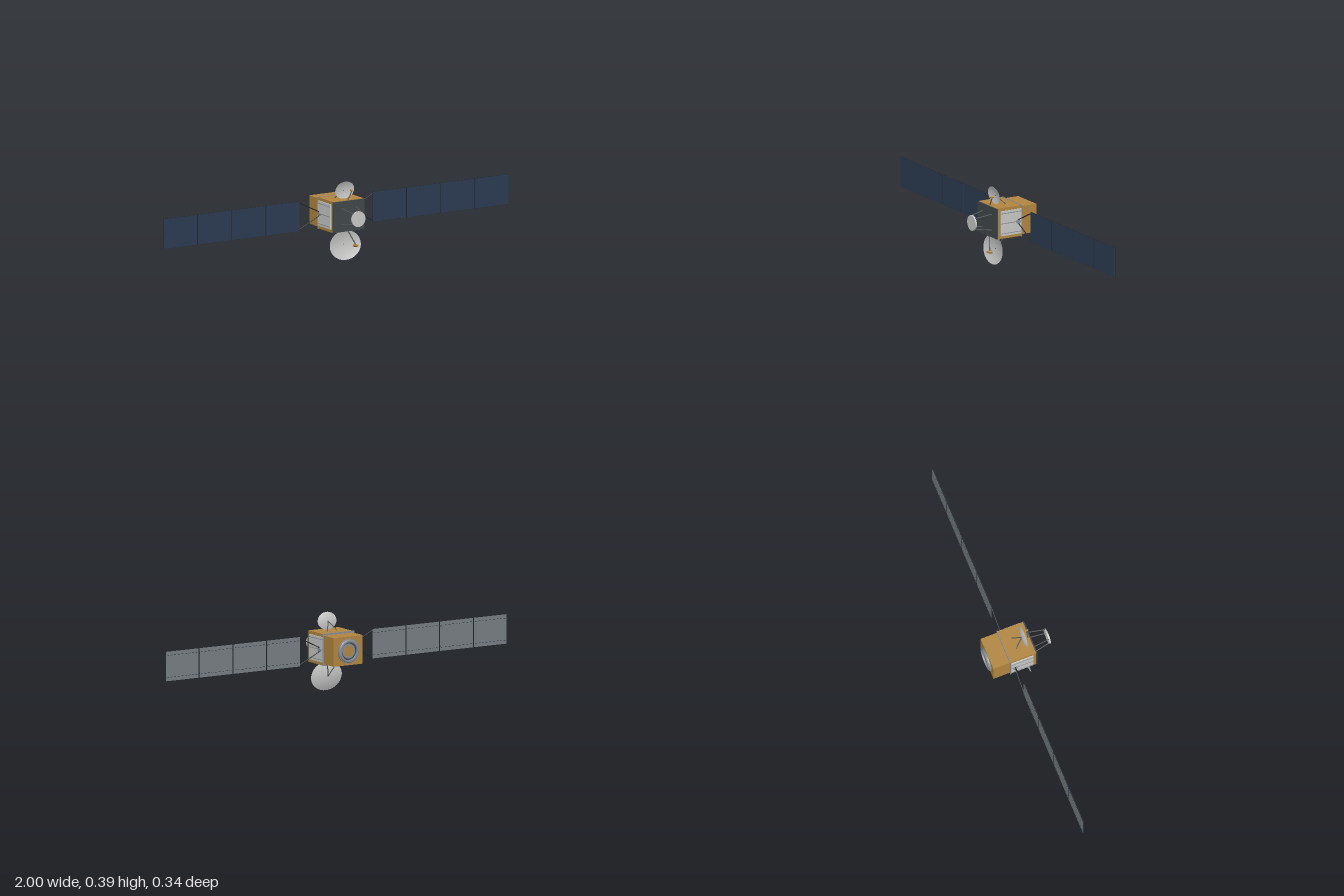
import * as THREE from 'three';

const mat = (name, color, side = THREE.FrontSide) => {
  const m = new THREE.MeshStandardMaterial({ color, side });
  m.name = name;
  return m;
};

export function createModel() {
  const root = new THREE.Group();
  root.name = 'satellite';
  const gold = mat('gold foil', 0xb0853f);
  const light = mat('light grey', 0xc6c7c5, THREE.DoubleSide);
  const grey = mat('mid grey', 0x868d95, THREE.DoubleSide);
  const dark = mat('dark grey', 0x40474a);
  const strutMat = mat('strut grey', 0x55585a);
  const navy = mat('solar cell navy', 0x2b3a52);
  const backing = mat('panel backing grey', 0x757c80);
  const edge = mat('panel edge black', 0x22272c);

  const add = (parent, name, geo, m, x = 0, y = 0, z = 0) => {
    const mesh = new THREE.Mesh(geo, m);
    mesh.name = name;
    mesh.position.set(x, y, z);
    parent.add(mesh);
    return mesh;
  };
  const box = (parent, name, m, w, h, d, x, y, z) =>
    add(parent, name, new THREE.BoxGeometry(w, h, d), m, x, y, z);
  // Cone or rod running from a to b
  const rod = (parent, name, m, a, b, r0, r1 = r0, sides = 8) => {
    const A = new THREE.Vector3(...a), B = new THREE.Vector3(...b);
    const dir = B.clone().sub(A);
    const mesh = add(parent, name, new THREE.CylinderGeometry(r1, r0, dir.length(), sides), m);
    mesh.position.copy(A).add(B).multiplyScalar(0.5);
    mesh.quaternion.setFromUnitVectors(new THREE.Vector3(0, 1, 0), dir.normalize());
    return mesh;
  };
  const CY = 0.23;

  // Main body, rear module and frames
  box(root, 'mainBody', gold, 0.176, 0.157, 0.136, 0, CY, 0.002);
  box(root, 'rearModule', gold, 0.17, 0.143, 0.09, 0, CY, -0.11);
  box(root, 'rearFrame', grey, 0.184, 0.161, 0.004, 0, CY, -0.066);
  box(root, 'frontPlate', dark, 0.18, 0.153, 0.007, 0, CY, 0.0735);

  // Engine ring on the back
  const ringProfile = [[0.045, 0], [0.045, 0.013], [0.054, 0.013], [0.058, 0.009], [0.061, 0.009], [0.061, 0]];
  const facets = ringProfile.slice(1).map((p, i) => [ringProfile[i], p]);
  facets.forEach((seg) => {
    const pts = seg.map(([r, y]) => new THREE.Vector2(r, y));
    const ring = add(root, 'engineRing', new THREE.LatheGeometry(pts, 32), grey, 0, CY, -0.155);
    ring.rotation.x = -Math.PI / 2;
  });
  rod(root, 'engineRecess', dark, [0, CY, -0.154], [0, CY, -0.157], 0.046, 0.046, 32);
  rod(root, 'engineInnerRing', grey, [0, CY, -0.154], [0, CY, -0.161], 0.037, 0.037, 32);
  rod(root, 'engineCentre', gold, [0, CY, -0.154], [0, CY, -0.162], 0.027, 0.027, 32);

  // Front antenna disc on four splayed struts
  rod(root, 'frontDisc', light, [0, CY, 0.16], [0, CY, 0.169], 0.039, 0.039, 32);
  for (const sx of [-1, 1]) for (const sy of [-1, 1]) {
    rod(root, 'frontStrut', strutMat, [sx * 0.041, CY + sy * 0.041, 0.075],
      [sx * 0.027, CY + sy * 0.027, 0.163], 0.0025);
  }

  // Elliptical dish, back braces and feed horn
  function dish(name, y, z, rx, ry, depth, tilt) {
    const g = new THREE.Group();
    g.name = name;
    const pts = [];
    for (let i = 0; i <= 8; i++) pts.push(new THREE.Vector2(Math.max(i / 8, 0.0001), (i / 8) ** 2 - 1));
    const geo = new THREE.LatheGeometry(pts, 40);
    geo.scale(rx, depth, ry);
    geo.rotateX(Math.PI / 2 + tilt);
    add(g, 'reflector', geo, light, 0, y, z);
    const up = Math.sign(y - CY);
    for (const s of [-1, 1]) {
      rod(g, 'dishBrace', strutMat, [s * 0.03, CY + up * 0.076, -0.013], [0, y, z - depth], 0.0025);
    }
    root.add(g);
  }
  dish('upperDish', 0.353, 0.0375, 0.055, 0.044, 0.009, 0.12);
  dish('lowerDish', 0.077, 0.043, 0.09, 0.0735, 0.015, -0.095);
  rod(root, 'upperFeedMast', strutMat, [0, 0.303, 0.063], [0.025, 0.35, 0.063], 0.0028);
  rod(root, 'upperFeedHorn', gold, [0.025, 0.352, 0.073], [0.025, 0.353, 0.055], 0.0035, 0.006, 16);
  rod(root, 'lowerFeedMast', strutMat, [0, 0.156, 0.065], [0.036, 0.082, 0.084], 0.003);
  rod(root, 'lowerFeedHorn', gold, [0.036, 0.08, 0.1], [0.036, 0.078, 0.073], 0.005, 0.0095, 16);

  // Each side: radiator, hub, yoke and four solar panels
  const PZ = -0.044;
  for (const s of [-1, 1]) {
    const wing = new THREE.Group();
    wing.name = s > 0 ? 'leftWing' : 'rightWing';
    root.add(wing);
    box(wing, 'radiator', light, 0.007, 0.126, 0.118, s * 0.0905, CY, -0.005);
    for (const y of [0.281, CY, 0.179]) {
      box(wing, 'radiatorPipe', grey, 0.003, 0.003, 0.118, s * 0.0945, y, -0.005);
    }
    rod(wing, 'driveHub', grey, [s * 0.086, CY, PZ], [s * 0.101, CY, PZ], 0.011, 0.011, 20);
    for (const v of [-1, 1]) {
      rod(wing, 'yoke', edge, [s * 0.094, CY + v * 0.008, PZ], [s * 0.212, CY + v * 0.067, PZ], 0.0025);
    }
    const pitch = 0.1975, h = 0.151;
    for (let i = 0; i < 4; i++) {
      const x = s * (0.21 + pitch * (i + 0.5)), w = pitch - 0.003;
      box(wing, 'panelCore', edge, w, h, 0.003, x, CY, PZ);
      box(wing, 'solarCells', navy, w - 0.002, h - 0.002, 0.001, x, CY, PZ + 0.002);
      box(wing, 'panelBacking', backing, w - 0.004, h - 0.004, 0.001, x, CY, PZ - 0.002);
      // Dashed seams on the back
      for (const v of [-1, 1]) for (let k = 0; k < 9; k++) {
        box(wing, 'backSeam', edge, 0.011, 0.002, 0.0006, x + (k - 4) * 0.021, CY + v * 0.055, PZ - 0.0026);
      }
      // Hinges to the next panel
      if (i < 3) for (const v of [-1, 1]) {
        box(wing, 'hinge', edge, 0.008, 0.006, 0.003, s * (0.21 + pitch * (i + 1)), CY + v * 0.05, PZ - 0.001);
      }
    }
  }
  return root;
}
